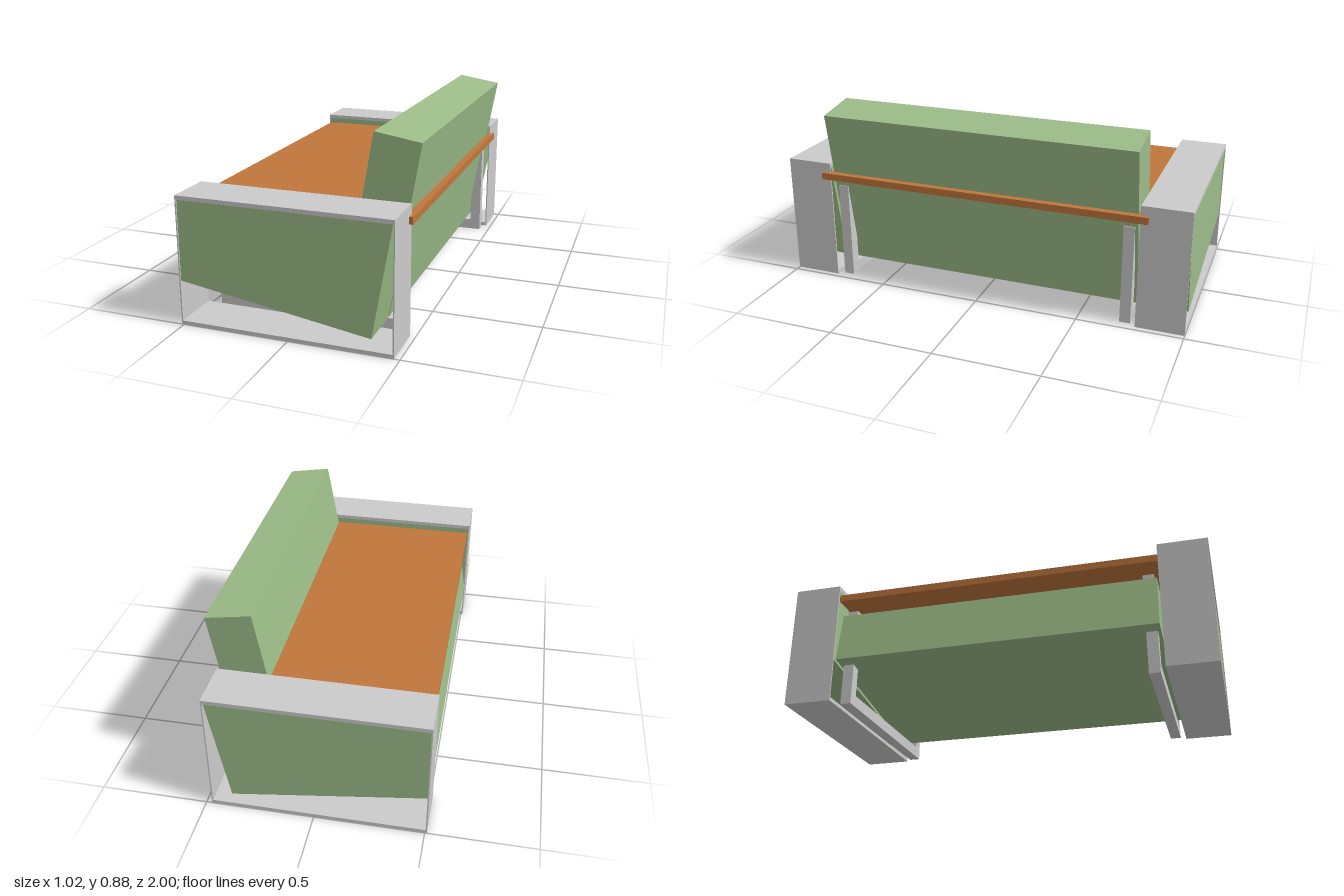
import * as THREE from 'three';

const green = new THREE.MeshStandardMaterial({ color: 0x9cbc88 });
green.name = 'sage green';
const grey = new THREE.MeshStandardMaterial({ color: 0xcbcbcb });
grey.name = 'light grey';
const orange = new THREE.MeshStandardMaterial({ color: 0xc0753c });
orange.name = 'burnt orange';

// Extrudes a side profile of [x, y] points from z0 to z1
function prism(name, points, z0, z1, material, hole) {
  const toVectors = (list) => list.map(([x, y]) => new THREE.Vector2(x, y));
  const shape = new THREE.Shape(toVectors(points));
  if (hole) shape.holes.push(new THREE.Path(toVectors(hole)));
  const geometry = new THREE.ExtrudeGeometry(shape, { depth: z1 - z0, bevelEnabled: false });
  geometry.translate(0, 0, z0);
  const mesh = new THREE.Mesh(geometry, material);
  mesh.name = name;
  return mesh;
}

const rect = (x0, y0, x1, y1) => [[x0, y0], [x1, y0], [x1, y1], [x0, y1]];

export function createModel() {
  const sofa = new THREE.Group();
  sofa.name = 'sofa';

  // Tilted seat and backrest, one L-shaped upholstered body
  sofa.add(prism('seatAndBackrest', [
    [-0.508, 0.205], [0.375, 0.07], [0.511, 0.851], [0.302, 0.885],
    [0.207, 0.347], [-0.468, 0.45],
  ], -0.76, 0.76, green));

  // Flat board laid across the seat, reaching into the arms
  sofa.add(prism('board', rect(-0.5, 0.517, 0.491, 0.55), -0.81, 0.81, orange));

  for (const side of [-1, 1]) {
    const span = (a, b) => (side > 0 ? [a, b] : [-b, -a]);

    // Thin open box frame of the arm
    sofa.add(prism('armFrame', rect(-0.51, 0, 0.474, 0.596), ...span(0.772, 1), grey,
      rect(-0.504, 0.018, 0.468, 0.577)));

    // Upholstered block inside the arm
    sofa.add(prism('armPadding', [
      [-0.504, 0.206], [0.375, 0.07], [0.465, 0.577], [-0.504, 0.577],
    ], ...span(0.772, 0.995), green));

    // Leg loop under the seat
    sofa.add(prism('legFrame', rect(-0.45, 0, 0.45, 0.48), ...span(0.694, 0.745), grey,
      rect(-0.399, 0.054, 0.396, 0.43)));
  }
  return sofa;
}
